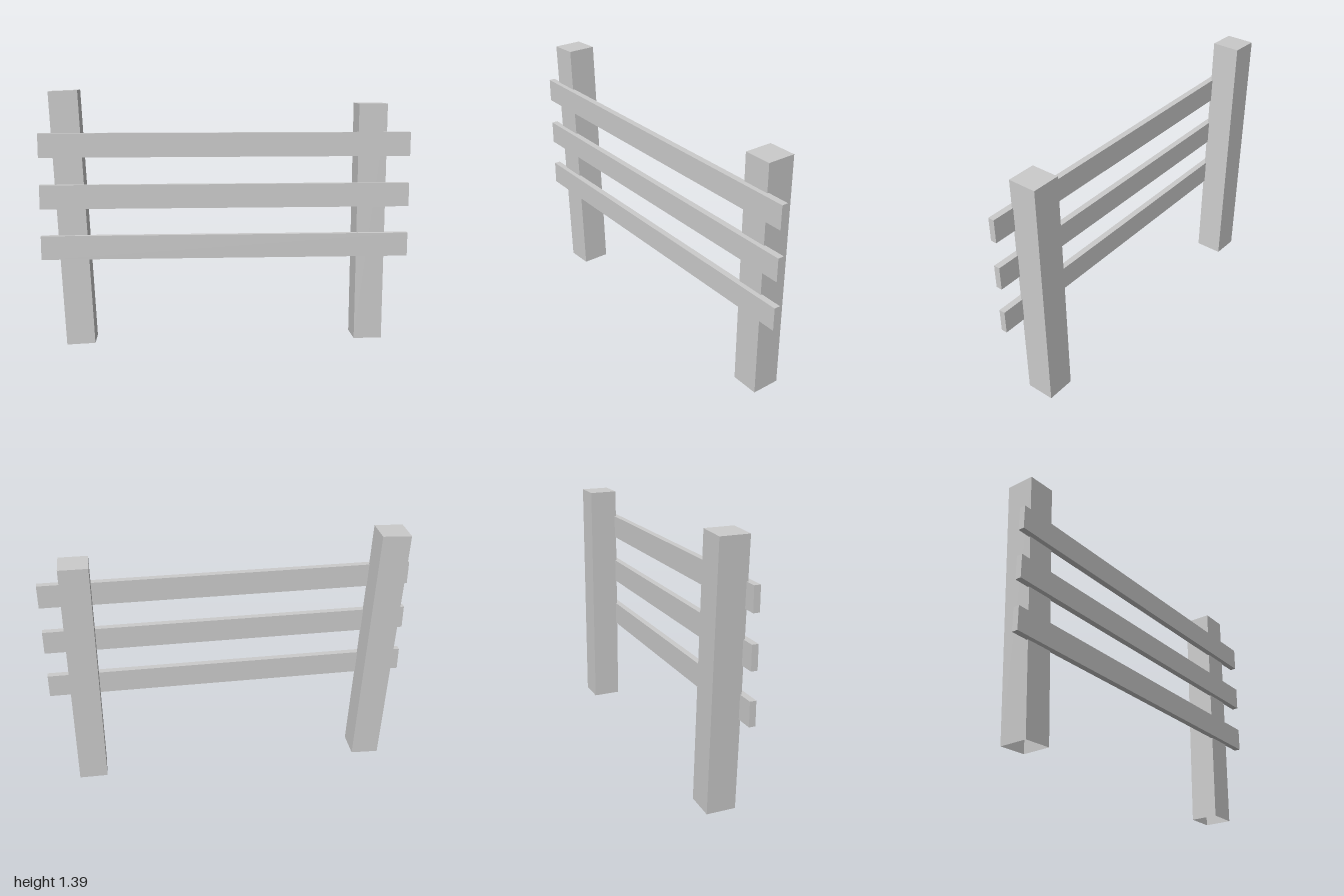
import * as THREE from 'three';

const material = new THREE.MeshStandardMaterial({ color: 0xcccccc, flatShading: true, side: THREE.DoubleSide });

// Square post with an open underside
function makePost(name, height, x, y, lean) {
  const geometry = new THREE.BoxGeometry(0.155, height, 0.155);
  const index = Array.from(geometry.index.array);
  index.splice(18, 6); // drop the bottom face
  geometry.setIndex(index);
  geometry.clearGroups();
  const post = new THREE.Mesh(geometry, material);
  post.name = name;
  post.position.set(x, y, -0.0125);
  post.rotation.z = lean;
  return post;
}

export function createModel() {
  const fence = new THREE.Group();
  fence.name = 'fence';

  // One upright post and a taller one leaning outwards
  fence.add(makePost('leftPost', 1.31, 0.798, 0.665, 0));
  fence.add(makePost('rightLeaningPost', 1.388, -0.833, 0.6975, 0.0452));

  // Three rails, set slightly into the front of the posts
  const railGeometry = new THREE.BoxGeometry(2, 0.129, 0.034);
  ['lowerRail', 'middleRail', 'upperRail'].forEach((name, i) => {
    const rail = new THREE.Mesh(railGeometry, material);
    rail.name = name;
    rail.position.set(0, 0.551 + i * 0.2765, 0.074);
    fence.add(rail);
  });

  return fence;
}
